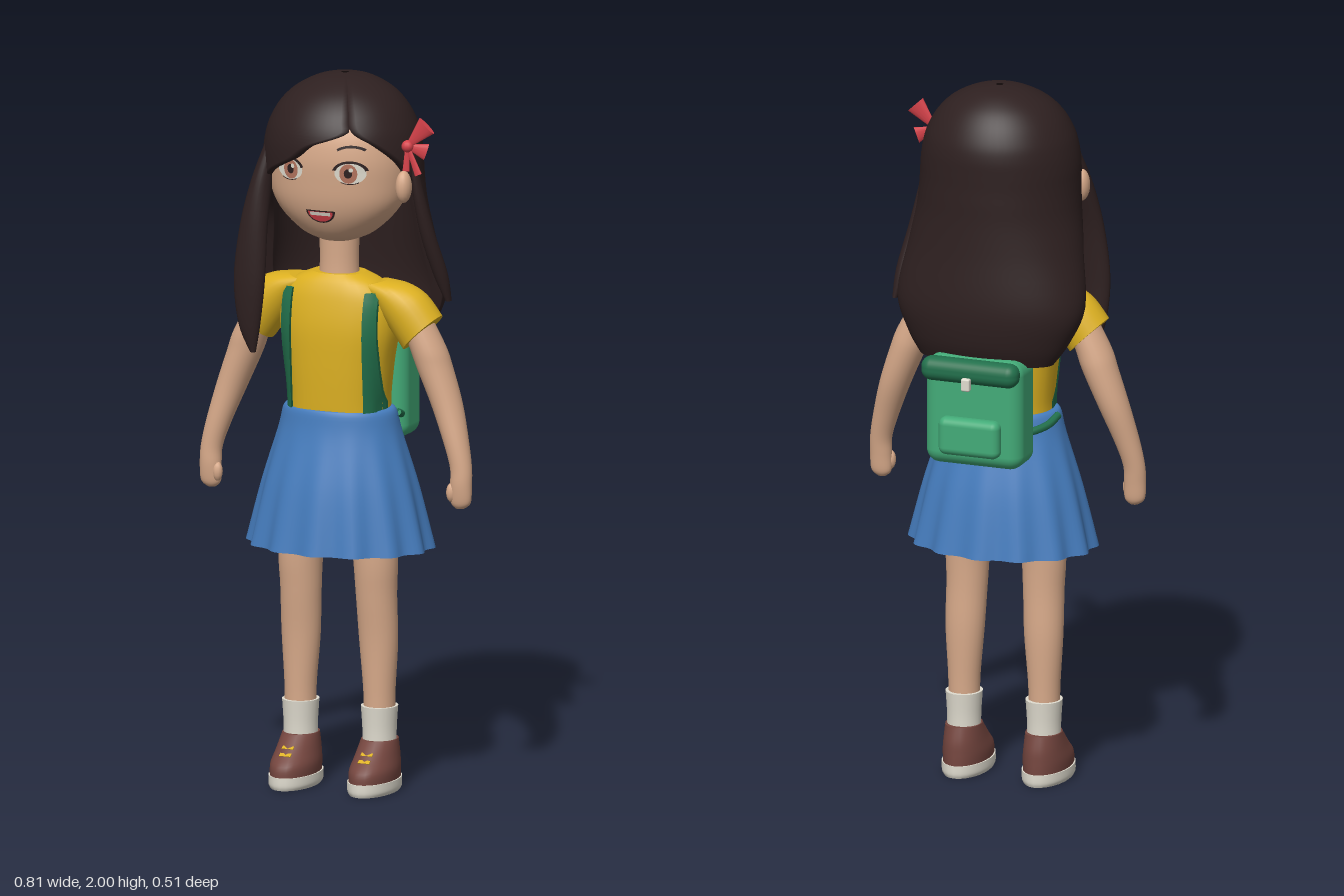
import * as THREE from 'three';
import { RoundedBoxGeometry } from 'three/addons/geometries/RoundedBoxGeometry.js';

const paint = (name, color) => {
  const m = new THREE.MeshStandardMaterial({ color });
  m.name = name;
  return m;
};

// Catmull-Rom smoothing of rows of numbers, column by column
function smooth(rows, k = 5) {
  const out = [], at = i => rows[Math.min(rows.length - 1, Math.max(0, i))];
  for (let i = 0; i < rows.length - 1; i++) for (let s = 0; s < k; s++) {
    const t = s / k;
    out.push(at(i).map((b, c) => {
      const a = at(i - 1)[c], d = at(i + 1)[c], e = at(i + 2)[c];
      return b + 0.5 * t * (d - a + t * (2 * a - 5 * b + 4 * d - e + t * (3 * (b - d) + e - a)));
    }));
  }
  out.push(rows[rows.length - 1]);
  return out;
}

// Skin over closed loops of points (bottom to top), with optional crisp caps
function skin(rings, caps = true) {
  const L = rings[0].length, pos = rings.flat(2), idx = [];
  for (let i = 0; i < rings.length - 1; i++) for (let j = 0; j < L; j++) {
    const a = i * L + j, b = i * L + (j + 1) % L;
    idx.push(a, b, b + L, a, b + L, a + L);
  }
  if (caps) for (const top of [false, true]) {
    const o = pos.length / 3;
    pos.push(...rings[top ? rings.length - 1 : 0].flat());
    for (let j = 0; j < L / 2 - 1; j++) {
      const a = o + j, b = a + 1, c = o + L - 2 - j, d = c + 1;
      idx.push(...(top ? [a, b, c, a, c, d] : [c, b, a, d, c, a]));
    }
  }
  const g = new THREE.BufferGeometry();
  g.setAttribute('position', new THREE.Float32BufferAttribute(pos, 3));
  g.setIndex(idx);
  g.computeVertexNormals();
  return g;
}

const pw = (v, e) => Math.sign(v) * Math.abs(v) ** e;

// Horizontal oval sections: [y, cx, cz, rx, rz, tilt]; s mirrors in x
function loft(rows, { s = 1, n = 24, e = 1, caps = true, ripple = () => 1 } = {}) {
  return skin(smooth(rows).map(([y, cx, cz, rx, rz, tilt = 0]) =>
    Array.from({ length: n }, (_, j) => {
      const a = j / n * Math.PI * 2, r = ripple(a, y), u = pw(Math.sin(a), e);
      return [s * cx + rx * u * r, y + tilt * s * u, cz + rz * pw(Math.cos(a), e) * r];
    })), caps);
}

// Height z of the front of a centred loft at x, y
function frontOf(rows, e) {
  const d = smooth(rows);
  return (x, y) => {
    let i = 0;
    while (i < d.length - 2 && d[i + 1][0] < y) i++;
    const t = THREE.MathUtils.clamp((y - d[i][0]) / (d[i + 1][0] - d[i][0]), 0, 1);
    const [, , cz, rx, rz] = d[i].map((v, c) => v + (d[i + 1][c] - v) * t);
    return cz + rz * Math.max(0, 1 - Math.abs(x / rx) ** (2 / e)) ** (e / 2);
  };
}

// Lay a flat or thin geometry onto a front surface
function wrap(geo, surface, off) {
  const p = geo.attributes.position;
  for (let i = 0; i < p.count; i++) p.setZ(i, p.getZ(i) + surface(p.getX(i), p.getY(i)) + off);
  geo.computeVertexNormals();
  return geo;
}

export function createModel() {
  const root = new THREE.Group();
  const skinTone = paint('skin', 0xd8aa8a), hairMat = paint('dark hair', 0x2e2020);
  const yellow = paint('shirt yellow', 0xdcb021), blue = paint('skirt blue', 0x457cbd);
  const green = paint('bag green', 0x43ab78), darkGreen = paint('strap green', 0x22704c);
  const red = paint('bow red', 0xd6424a), brown = paint('shoe brown', 0x75463f);
  const white = paint('white', 0xe0dccf), iris = paint('iris brown', 0xb5755f);
  blue.side = THREE.DoubleSide;
  const add = (name, geo, mat, x = 0, y = 0, z = 0) => {
    const m = new THREE.Mesh(geo, mat);
    m.name = name;
    m.position.set(x, y, z);
    root.add(m);
    return m;
  };

  // Torso, neck and skirt
  const torso = [[1.05, 0, .045, .143, .108], [1.1, 0, .045, .142, .11], [1.2, 0, .045, .153, .112],
    [1.3, 0, .045, .17, .11], [1.38, 0, .047, .165, .095], [1.425, 0, .05, .13, .077], [1.45, 0, .05, .075, .06]];
  add('shirt', loft(torso, { n: 32, e: .85 }), yellow);
  add('neck', loft([[1.4, 0, .05, .06, .054], [1.48, 0, .05, .055, .05], [1.6, 0, .05, .058, .053]]), skinTone);
  add('skirt', loft([[.68, 0, .04, .262, .203], [.85, 0, .041, .222, .172], [1, 0, .043, .178, .13],
    [1.065, 0, .045, .161, .116], [1.072, 0, .045, .138, .104]],
  { n: 112, caps: false, ripple: (a, y) => 1 + .035 * Math.max(0, (1.03 - y) / .35) * Math.cos(14 * a) }), blue);

  for (const s of [1, -1]) {
    const side = s > 0 ? 'left' : 'right';
    // Sleeves and arms
    add(side + 'Sleeve', loft([[1.295, .25, .05, .052, .067, .05], [1.36, .2, .05, .056, .068, .04],
      [1.405, .15, .05, .052, .062, .022], [1.425, .1, .05, .045, .05, .01]], { s }), yellow);
    add(side + 'Arm', loft([[.815, .372, .075, .012, .01], [.832, .374, .075, .029, .02], [.88, .375, .075, .031, .026],
      [.93, .373, .071, .031, .029], [1, .355, .063, .036, .036], [1.1, .322, .05, .044, .046],
      [1.2, .284, .046, .05, .053], [1.26, .262, .048, .05, .054], [1.36, .215, .05, .042, .05]], { s }), skinTone);
    add(side + 'Thumb', new THREE.SphereGeometry(.018, 12, 8).scale(.8, 1.5, .8), skinTone, s * .35, .86, .085);
    // Legs, socks and shoes
    add(side + 'Leg', loft([[.2, .118, .046, .044, .044], [.28, .118, .046, .045, .045], [.42, .116, .047, .055, .05],
      [.55, .113, .055, .058, .055], [.68, .11, .058, .064, .062], [.95, .085, .05, .072, .07]], { s }), skinTone);
    add(side + 'Sock', loft([[.11, .118, .045, .047, .05], [.17, .118, .045, .047, .051], [.235, .118, .045, .051, .056]], { s }), white);
    add(side + 'Sole', loft([[0, .118, .079, .06, .112], [.012, .118, .079, .066, .116], [.036, .118, .079, .066, .116]], { s }), white);
    add(side + 'Shoe', loft([[.034, .118, .079, .062, .113], [.065, .118, .076, .063, .109], [.1, .118, .059, .057, .089],
      [.142, .118, .043, .05, .062]], { s }), brown);
    for (const [y, z] of [[.093, .152], [.11, .133]])
      add(side + 'Lace', new THREE.BoxGeometry(.034, .005, .012), yellow, s * .118, y, z).rotation.x = .6;
    // Ears
    add(side + 'Ear', new THREE.SphereGeometry(1, 16, 12).scale(.022, .045, .028), skinTone, s * .211, 1.71, .093);
    // Straps on the chest and round the waist
    const strap = new THREE.BoxGeometry(.034, .335, .014, 4, 16, 1).translate(s * .125, 1.238, 0);
    add(side + 'Strap', wrap(strap, frontOf(torso, .85), .005), darkGreen);
    const path = new THREE.CatmullRomCurve3([[.165, 1.06, .03], [.155, 1.045, -.02], [.12, 1.035, -.075], [.08, 1.03, -.1]]
      .map(([x, y, z]) => new THREE.Vector3(s * x, y, z)));
    add(side + 'WaistStrap', new THREE.TubeGeometry(path, 12, .011, 8), darkGreen);
  }

  // Head
  const head = [[1.543, 0, .055, .05, .05], [1.565, 0, .055, .1, .085], [1.61, 0, .055, .152, .115],
    [1.66, 0, .05, .187, .137], [1.72, 0, .04, .202, .155], [1.79, 0, .035, .205, .163], [1.86, 0, .03, .19, .155],
    [1.92, 0, .025, .145, .12], [1.96, 0, .02, .06, .06]];
  add('head', loft(head, { n: 40, e: .95 }), skinTone);
  const face = frontOf(head, .95);
  const mark = (name, geo, mat, x, y, sx, sy, off) =>
    add(name, wrap(geo.scale(sx, sy, 1).translate(x, y, 0), face, off), mat);
  const disc = (r, from = 0, len = Math.PI * 2) => new THREE.CircleGeometry(r, 24, from, len);
  const arc = (r0, r1, from, len) => new THREE.RingGeometry(r0, r1, 20, 1, from, len);

  // Eyes, brows and mouth
  for (const s of [1, -1]) {
    mark('eyeWhite', disc(.042), white, s * .09, 1.755, 1, .72, .003);
    mark('iris', disc(.025), iris, s * .086, 1.754, .95, 1.1, .0045);
    mark('pupil', disc(.011), hairMat, s * .086, 1.755, 1, 1.2, .006);
    mark('eyeShine', disc(.006), white, s * .086 + .008, 1.765, 1, 1, .0075);
    mark('upperLid', arc(.04, .049, .25, 2.64), hairMat, s * .091, 1.755, 1, .72, .006);
    mark('lowerLid', arc(.041, .044, 4.1, 1.2), hairMat, s * .09, 1.755, 1, .72, .005);
    mark('brow', arc(.07, .077, 1.05, 1.05), hairMat, s * .092, 1.756, 1, 1, .004);
  }
  mark('mouthLine', disc(.043, Math.PI, Math.PI), hairMat, 0, 1.643, 1, .85, .003);
  mark('mouth', disc(.037, Math.PI, Math.PI), red, 0, 1.64, 1, .8, .0045);
  mark('teeth', new THREE.PlaneGeometry(.06, .01, 8, 1), white, 0, 1.634, 1, 1, .006);

  // Hair shell: [y, rx, cz, rz, opening angle to the left, opening angle to the right]
  const hairRows = [[1.24, .195, -.085, .075, 84, 84], [1.3, .235, -.07, .115, 84, 84], [1.4, .272, -.05, .148, 84, 84],
    [1.55, .25, -.01, .177, 86, 84], [1.64, .234, .008, .19, 85, 72], [1.7, .228, .016, .197, 82, 58], [1.74, .226, .02, .2, 73, 45],
    [1.785, .224, .022, .202, 62, 20], [1.83, .217, .022, .201, 46, 3], [1.872, .204, .021, .191, 28, -26],
    [1.92, .176, .019, .165, 26, -26], [1.96, .134, .015, .126, 26, -26], [1.99, .073, .01, .07, 26, -26], [2, .012, .01, .012, 26, -26]];
  const N = 60;
  add('hair', skin(smooth(hairRows).map(([y, rx, cz, rz, a, b]) => {
    const from = a * Math.PI / 180, to = 2 * Math.PI - Math.max(b, -a) * Math.PI / 180;
    return Array.from({ length: 2 * N }, (_, j) => {
      const k = j < N ? 1 : .87, t = from + (to - from) * (j < N ? j : 2 * N - 1 - j) / (N - 1);
      return [rx * k * Math.sin(t), y, cz + rz * k * Math.cos(t)];
    });
  })), hairMat);
  add('sideLock', loft([[1.22, -.217, .148, .008, .008], [1.3, -.226, .152, .032, .018], [1.43, -.224, .156, .046, .022],
    [1.58, -.214, .148, .04, .026], [1.7, -.2, .125, .03, .034], [1.8, -.18, .1, .02, .03]]), hairMat);
  add('earLock', loft([[1.37, .288, -.04, .008, .012], [1.45, .272, -.02, .02, .022], [1.57, .248, .015, .02, .022],
    [1.7, .229, .04, .014, .018], [1.84, .212, .052, .006, .01]]), hairMat);

  // Hair bow
  const bow = new THREE.Group();
  bow.name = 'bow';
  bow.position.set(.222, 1.825, .092);
  root.add(bow);
  const knot = new THREE.Mesh(new THREE.SphereGeometry(.017, 12, 10), red);
  knot.name = 'bowKnot';
  bow.add(knot);
  for (const [name, w, len, rz, ry] of [['upperLoop', .03, .085, -.75, 0], ['lowerLoop', .024, .055, -1.9, .5],
    ['longTail', .011, .085, -2.75, 0], ['shortTail', .01, .07, -3.2, .3]]) {
    const part = new THREE.Mesh(new THREE.CylinderGeometry(w, .006, len, 14).scale(1, 1, .35).translate(0, len / 2, 0), red);
    part.name = name;
    part.rotation.set(0, ry, rz);
    bow.add(part);
  }

  // Backpack
  add('bag', new RoundedBoxGeometry(.285, .31, .14, 4, .04), green, 0, 1.11, -.138);
  add('bagFlap', new RoundedBoxGeometry(.285, .068, .065, 4, .03), darkGreen, 0, 1.235, -.21);
  add('bagPocket', new RoundedBoxGeometry(.18, .108, .05, 4, .022), green, 0, 1.047, -.214);
  add('bagBuckle', new RoundedBoxGeometry(.026, .036, .02, 2, .005), white, 0, 1.207, -.245);

  return root;
}
